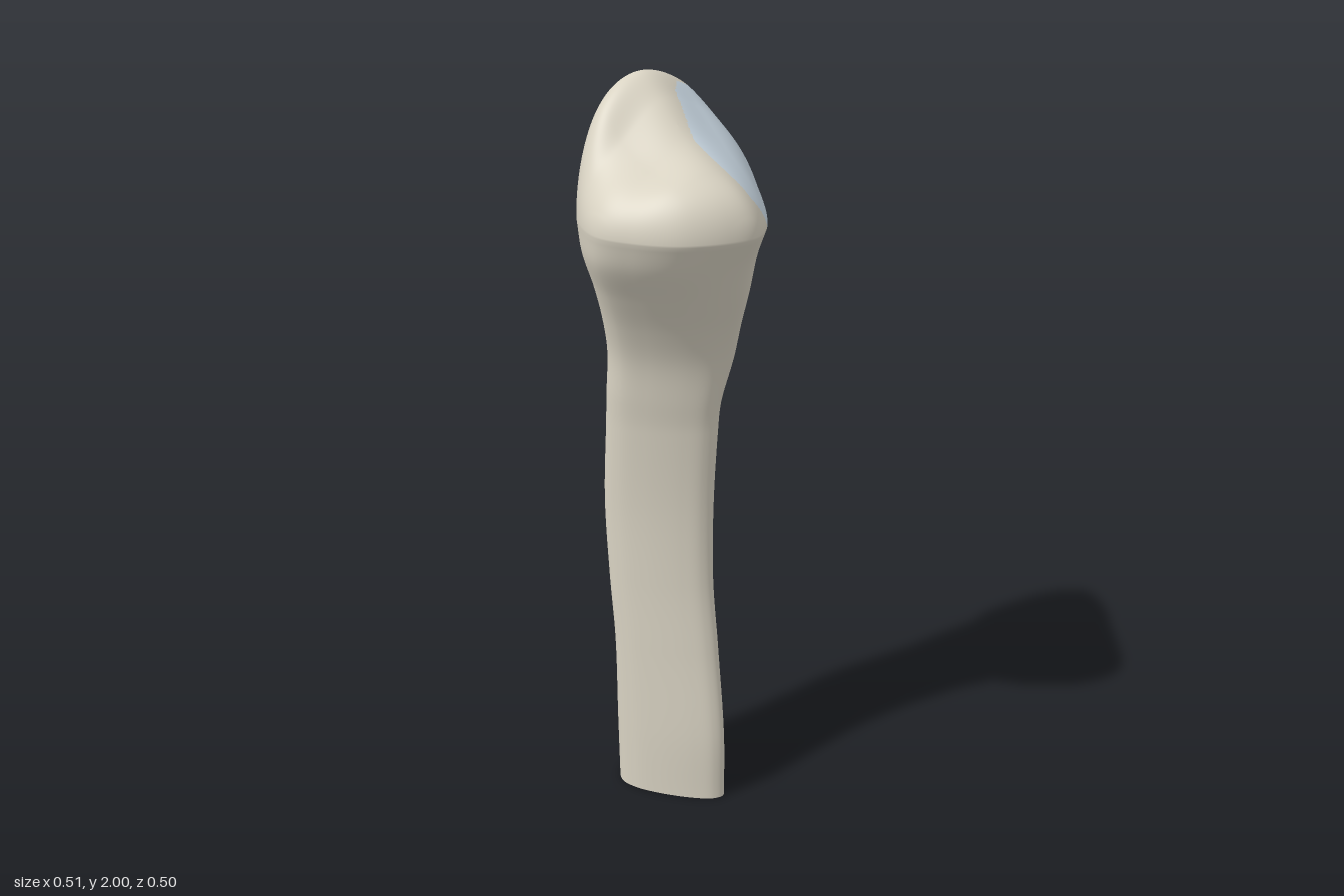
import * as THREE from 'three';

const SEGS = 200, SIDE_ROWS = 130, DOME_ROWS = 56, RIM = 1.68;

// Matching outlines (x, z), from the front edge round towards +x
const SHAFT = [[.1, .08], [.13, .04], [.15, -.05], [.15, -.15], [.13, -.2], [.05, -.23],
  [-.03, -.21], [-.07, -.16], [-.065, -.11], [-.03, -.04], [.03, .04], [.07, .075]];
const HEAD = [[.03, .255], [.1, .21], [.2, .08], [.255, -.04], [.2, -.2], [.03, -.255],
  [-.1, -.225], [-.2, -.14], [-.255, 0], [-.22, .1], [-.15, .19], [-.05, .245]];

// y, min x, max x, min z, max z, blend from shaft to head outline
const SECTIONS = [
  [0, -.07, .15, -.23, .08, 0], [.2, -.075, .147, -.23, .08, 0], [.45, -.08, .15, -.225, .05, 0],
  [.65, -.086, .15, -.237, .028, 0], [.87, -.09, .155, -.25, .025, .03], [1.1, -.095, .16, -.237, .042, .12],
  [1.18, -.1, .165, -.232, .055, .2], [1.3, -.11, .2, -.23, .085, .4], [1.4, -.14, .215, -.23, .12, .58],
  [1.5, -.185, .23, -.23, .165, .75], [1.6, -.237, .245, -.235, .21, .92], [RIM, -.255, .255, -.25, .253, 1]];

// Height of the upper surface on a grid: rows by z, columns by x
const GRID_X = [-.24, -.12, 0, .12, .24];
const GRID_Z = [-.22, -.14, -.06, .04, .14, .24];
const HEIGHTS = [
  [1.86, 1.96, 1.99, 1.975, 1.92], [1.86, 1.96, 2.005, 1.975, 1.9], [1.8, 1.87, 1.95, 1.91, 1.85],
  [1.78, 1.82, 1.87, 1.83, 1.77], [1.77, 1.81, 1.82, 1.77, 1.7], [1.74, 1.79, 1.79, 1.72, 1.66]];

// Joint facet outline: (x - z) / sqrt 2 against y
const FACET = [[-.1, 1.76], [-.08, 1.69], [-.02, 1.63], [.04, 1.6], [.15, 1.6], [.2, 1.63], [.225, 1.7],
  [.23, 1.8], [.222, 1.89], [.18, 1.95], [.127, 1.975], [.05, 1.92], [-.015, 1.87], [-.07, 1.81]];

// Smooth interpolation of samples ys at rising positions xs
function smooth(xs, ys, x) {
  const n = xs.length;
  const t = THREE.MathUtils.clamp(x, xs[0], xs[n - 1]);
  let i = 0;
  while (i < n - 2 && t > xs[i + 1]) i++;
  const slope = k => {
    const a = Math.max(k - 1, 0), b = Math.min(k + 1, n - 1);
    return (ys[b] - ys[a]) / (xs[b] - xs[a]);
  };
  const h = xs[i + 1] - xs[i], u = (t - xs[i]) / h, u2 = u * u, u3 = u2 * u;
  return (2 * u3 - 3 * u2 + 1) * ys[i] + (u3 - 2 * u2 + u) * h * slope(i)
    + (3 * u2 - 2 * u3) * ys[i + 1] + (u3 - u2) * h * slope(i + 1);
}

// Closed smooth outline, scaled to run from 0 to 1 on both axes
function outline(points) {
  const curve = new THREE.CatmullRomCurve3(points.map(([x, z]) => new THREE.Vector3(x, 0, z)), true);
  const pts = Array.from({ length: SEGS }, (_, j) => curve.getPoint(j / SEGS));
  const box = new THREE.Box3().setFromPoints(pts), size = box.getSize(new THREE.Vector3());
  return pts.map(p => [(p.x - box.min.x) / size.x, (p.z - box.min.z) / size.z]);
}

const topHeight = (x, z) => smooth(GRID_Z, HEIGHTS.map(row => smooth(GRID_X, row, x)), z);

function inFacet(x, y, z) {
  if (x + z < -.02) return false;
  const v = (x - z) * Math.SQRT1_2;
  let inside = false;
  FACET.forEach(([ax, ay], i) => {
    const [bx, by] = FACET[(i + 1) % FACET.length];
    if (ay > y !== by > y && v < ax + (bx - ax) * (y - ay) / (by - ay)) inside = !inside;
  });
  return inside;
}

export function createModel() {
  const shaft = outline(SHAFT), head = outline(HEAD);
  const ys = SECTIONS.map(s => s[0]);
  const ring = y => {
    const [x0, x1, z0, z1, k] = [1, 2, 3, 4, 5].map(c => smooth(ys, SECTIONS.map(s => s[c]), y));
    return shaft.map(([a, b], j) => [
      x0 + (x1 - x0) * THREE.MathUtils.lerp(a, head[j][0], k),
      z0 + (z1 - z0) * THREE.MathUtils.lerp(b, head[j][1], k)]);
  };

  // Shaft and flaring neck
  const pos = [];
  for (let i = 0; i <= SIDE_ROWS; i++) {
    const y = RIM * i / SIDE_ROWS;
    ring(y).forEach(([x, z]) => pos.push(x, y, z));
  }
  // Rounded head closing over the rim
  const rim = ring(RIM);
  for (let i = 1; i <= DOME_ROWS; i++) {
    const s = Math.cos(i / DOME_ROWS * Math.PI / 2);
    const f = Math.sqrt(1 - s ** 6);
    rim.forEach(([rx, rz]) => {
      const x = rx * s, z = rz * s;
      pos.push(x, THREE.MathUtils.lerp(RIM, topHeight(x, z), f), z);
    });
  }

  // Faces, sorted into bone and joint facet
  const boneFaces = [], facetFaces = [];
  const addFace = (...f) => {
    const c = [0, 1, 2].map(k => (pos[f[0] * 3 + k] + pos[f[1] * 3 + k] + pos[f[2] * 3 + k]) / 3);
    (inFacet(...c) ? facetFaces : boneFaces).push(...f);
  };
  for (let i = 0; i < SIDE_ROWS + DOME_ROWS; i++) {
    for (let j = 0; j < SEGS; j++) {
      const a = i * SEGS + j, b = i * SEGS + (j + 1) % SEGS;
      addFace(a, b, b + SEGS);
      if (i < SIDE_ROWS + DOME_ROWS - 1) addFace(a, b + SEGS, a + SEGS);
    }
  }

  // Shared normals keep the shading continuous across the facet edge
  const whole = new THREE.BufferGeometry();
  whole.setAttribute('position', new THREE.Float32BufferAttribute(pos, 3));
  whole.setIndex([...boneFaces, ...facetFaces]);
  whole.computeVertexNormals();

  const group = new THREE.Group();
  const add = (name, geometry, color) => {
    const mesh = new THREE.Mesh(geometry, new THREE.MeshStandardMaterial({ color }));
    mesh.name = name;
    group.add(mesh);
  };
  const part = faces => whole.clone().setIndex(faces);
  add('bone', part(boneFaces), 0xd9d3c3);
  add('jointFacet', part(facetFaces), 0xcbd9e4);

  // Flat cut at the foot of the shaft
  const cut = new THREE.Shape(ring(0).map(([x, z]) => new THREE.Vector2(x, z)));
  add('cutEnd', new THREE.ShapeGeometry(cut).rotateX(Math.PI / 2), 0xd9d3c3);
  return group;
}
